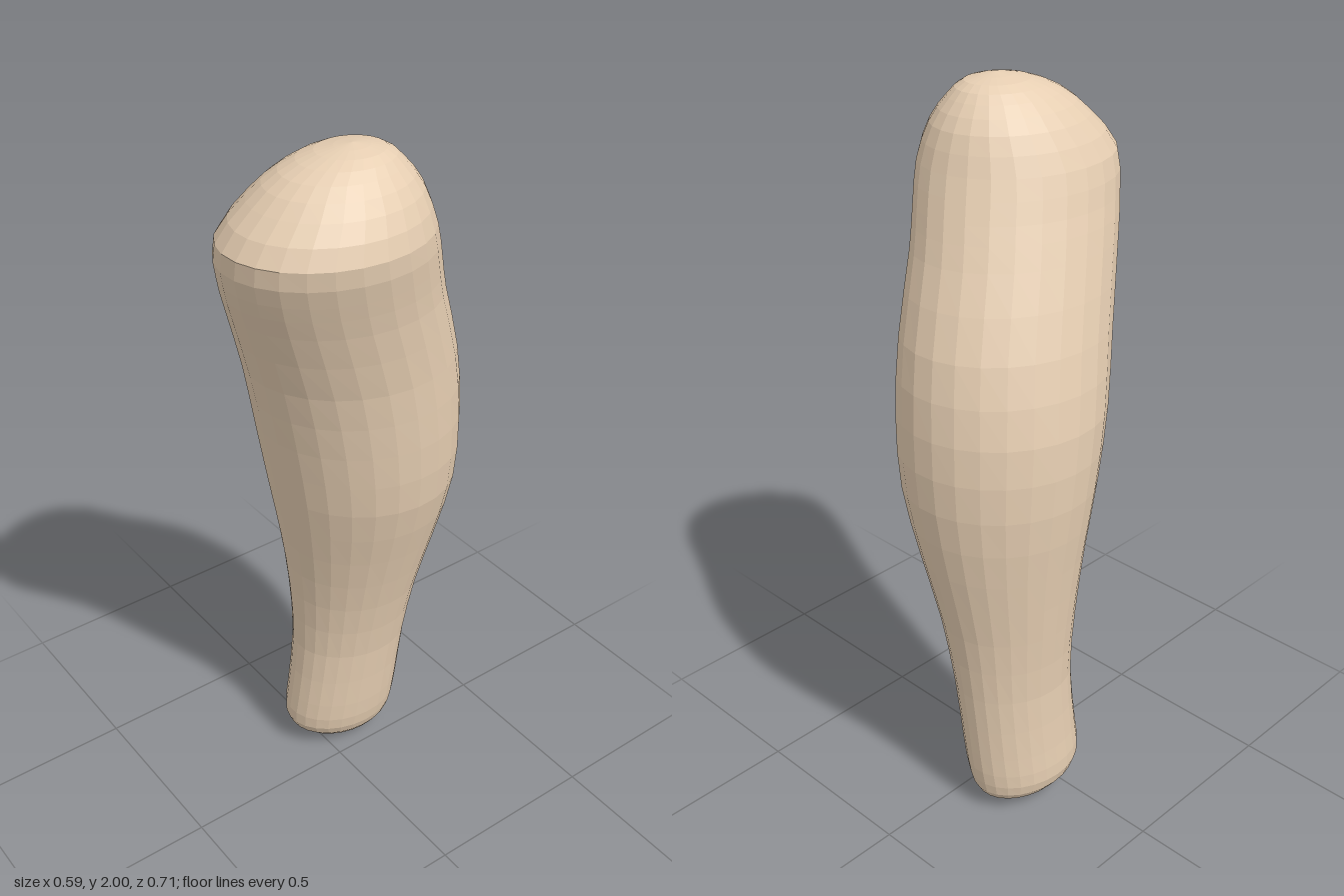
import * as THREE from 'three';

const SIDES = 26;
const STEPS = 2; // rings per section
const SKEW = 0.06; // slight thinning along the leaning diagonal

// Cross-sections from foot to head: [y, xMin, xMax, zMin, zMax]
const SECTIONS = [
  [0, -0.1, -0.1, -0.1, -0.1],
  [0.01, -0.15, -0.06, -0.165, -0.04],
  [0.045, -0.218, -0.015, -0.23, 0.05],
  [0.1, -0.245, 0.015, -0.25, 0.09],
  [0.2, -0.241, 0.03, -0.258, 0.086],
  [0.4, -0.235, 0.05, -0.27, 0.07],
  [0.6, -0.25, 0.09, -0.29, 0.08],
  [0.8, -0.27, 0.145, -0.325, 0.11],
  [1.0, -0.291, 0.2, -0.352, 0.15],
  [1.2, -0.291, 0.222, -0.35, 0.19],
  [1.4, -0.255, 0.235, -0.315, 0.24],
  [1.6, -0.2, 0.26, -0.24, 0.31],
  [1.7, -0.17, 0.28, -0.205, 0.345],
  [1.8, -0.14, 0.295, -0.17, 0.36],
  [1.89, -0.09, 0.258, -0.135, 0.285],
  [1.95, -0.035, 0.21, -0.09, 0.21],
  [1.985, 0.02, 0.165, -0.045, 0.125],
  [2, 0.1, 0.1, 0.04, 0.04],
];

// Smooth low and high edges through the sections
function edgeCurve(xi, zi) {
  return new THREE.CatmullRomCurve3(
    SECTIONS.map((s) => new THREE.Vector3(s[xi], s[0], s[zi])), false, 'catmullrom', 0.5);
}

function limbGeometry() {
  const low = edgeCurve(1, 3);
  const high = edgeCurve(2, 4);
  const rows = (SECTIONS.length - 1) * STEPS;
  const positions = [];
  const indices = [];

  for (let i = 0; i <= rows; i++) {
    const a = low.getPoint(i / rows);
    const b = high.getPoint(i / rows);
    const y = THREE.MathUtils.clamp(a.y, 0, 2);
    for (let j = 0; j < SIDES; j++) {
      const t = (j / SIDES) * Math.PI * 2;
      const u = Math.cos(t + SKEW / 2);
      const v = Math.sin(t - SKEW / 2);
      positions.push((a.x + b.x + (b.x - a.x) * u) / 2, y, (a.z + b.z + (b.z - a.z) * v) / 2);
    }
  }

  for (let i = 0; i < rows; i++) {
    for (let j = 0; j < SIDES; j++) {
      const k = (j + 1) % SIDES;
      const p = i * SIDES + j, q = i * SIDES + k;
      const r = p + SIDES, s = q + SIDES;
      // Single triangles at the two poles, quads elsewhere
      if (i < rows - 1) indices.push(p, r, s);
      if (i > 0) indices.push(p, s, q);
    }
  }

  const geometry = new THREE.BufferGeometry();
  geometry.setAttribute('position', new THREE.Float32BufferAttribute(positions, 3));
  geometry.setIndex(indices);
  geometry.computeVertexNormals();
  return geometry;
}

export function createModel() {
  const group = new THREE.Group();
  group.name = 'limb';
  const skin = new THREE.MeshStandardMaterial({ color: 0xe6ceb2, flatShading: true });

  // One closed, leaning limb with a narrow foot end and a rounded head
  const limb = new THREE.Mesh(limbGeometry(), skin);
  limb.name = 'limbBody';
  group.add(limb);
  return group;
}
